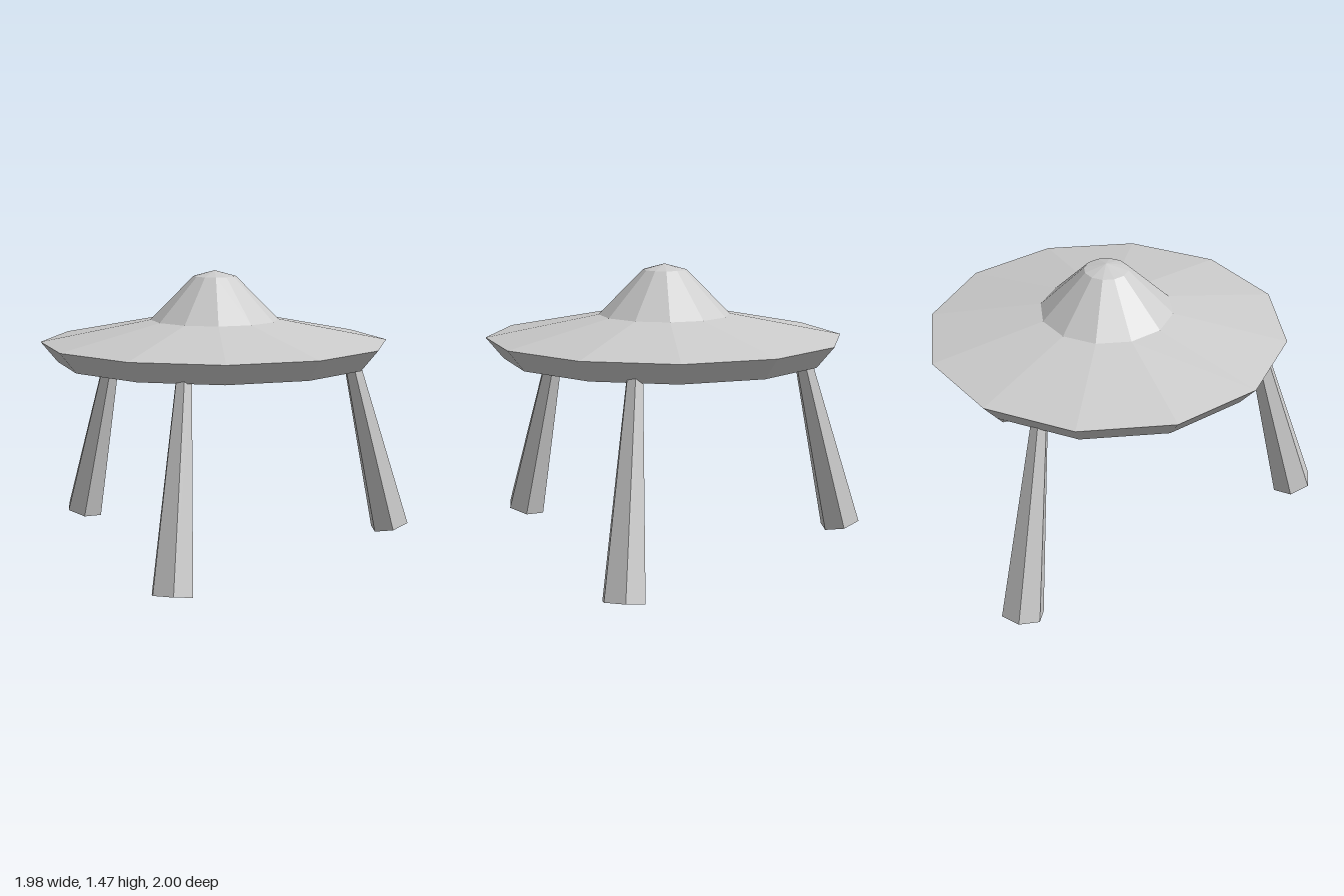
import * as THREE from 'three';

// Unshared vertices give each facet its own normal.
function faceted(geometry) {
  const flat = geometry.toNonIndexed();
  flat.computeVertexNormals();
  return flat;
}

export function createModel() {
  const model = new THREE.Group();
  model.name = 'saucerOnTripod';
  const grey = new THREE.MeshStandardMaterial({ color: 0xcccccc });
  grey.name = 'grey metal';

  // Twelve-sided saucer: shallow belly, bevelled rim, sloping deck and dome.
  const lathe = (name, points) => {
    const profile = points.map(([r, y]) => new THREE.Vector2(r, y));
    const mesh = new THREE.Mesh(faceted(new THREE.LatheGeometry(profile, 12, Math.PI / 12)), grey);
    mesh.name = name;
    mesh.position.set(-0.012, 0, -0.12);
    model.add(mesh);
  };
  lathe('hull', [[0, 0.935], [0.82, 1.0], [0.909, 1.107], [0.336, 1.22]]);
  lathe('dome', [[0.336, 1.22], [0.111, 1.446], [0, 1.476]]);

  // Three splayed hexagonal legs, thicker at the foot.
  const footRadius = 1.025, topRadius = 0.754, footY = 0.028, topY = 1.05;
  const run = footRadius - topRadius, rise = topY - footY;
  const legGeometry = faceted(new THREE.CylinderGeometry(
    0.04, 0.109, Math.hypot(run, rise), 6, 1, false, THREE.MathUtils.degToRad(16)));
  ['frontLeg', 'backLeftLeg', 'backRightLeg'].forEach((name, i) => {
    const pivot = new THREE.Group();
    pivot.name = name;
    pivot.position.set(-0.005, 0, -0.125);
    pivot.rotation.y = i * Math.PI * 2 / 3;
    const leg = new THREE.Mesh(legGeometry, grey);
    leg.name = name + 'Strut';
    leg.position.set(0, (footY + topY) / 2, (footRadius + topRadius) / 2);
    leg.rotation.x = -Math.atan2(run, rise);
    pivot.add(leg);
    model.add(pivot);
  });

  return model;
}
